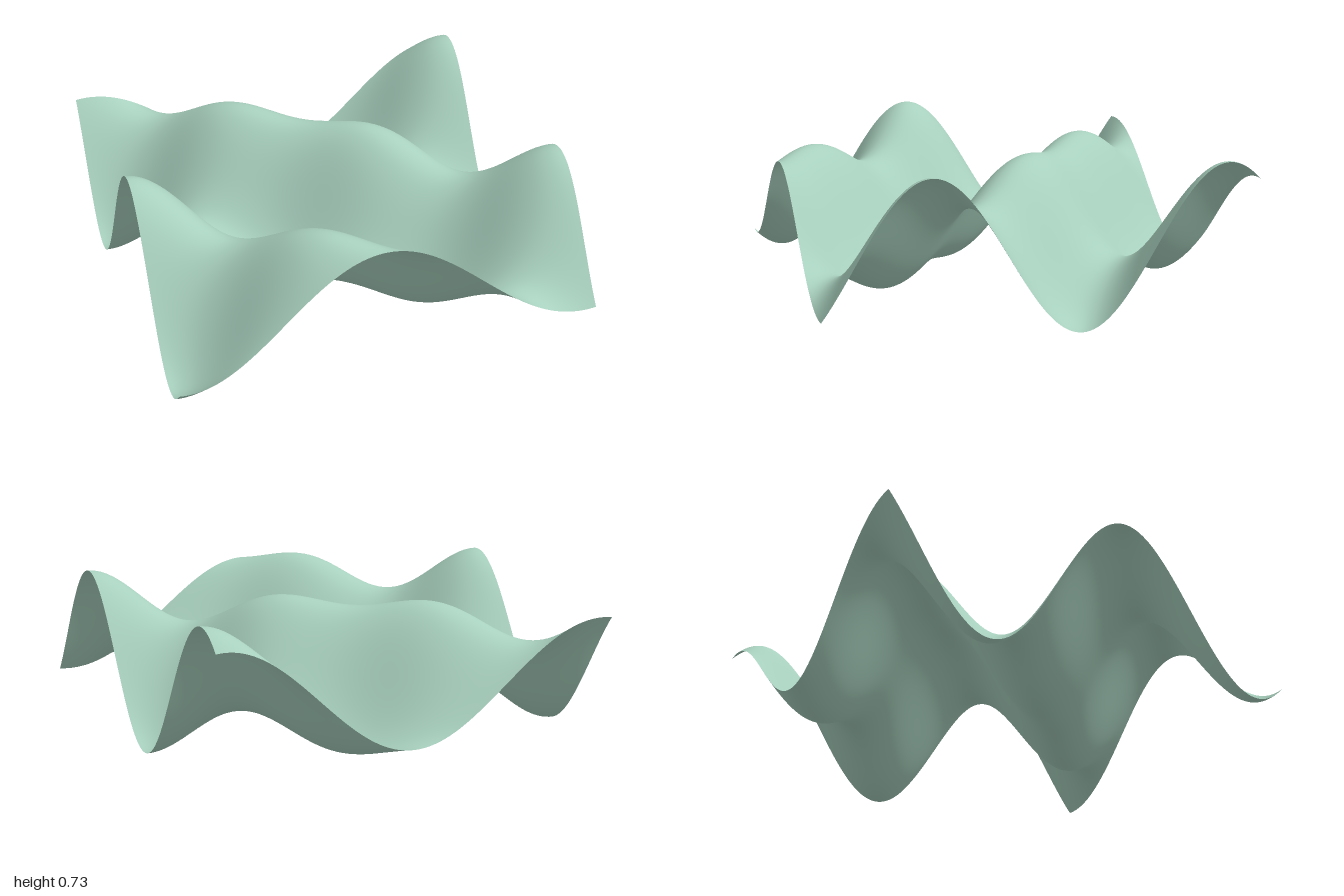
import * as THREE from 'three';

const AMPLITUDE = 0.261;
const MID_HEIGHT = 0.366;
const K_LONG = 3.3;   // slower ripple along x
const K_SHORT = 4.62; // faster ripple along x and z

// Two crossed standing waves make the diagonal ridges
function height(x, z) {
  return MID_HEIGHT + AMPLITUDE * (
    Math.sin(K_SHORT * x) * Math.cos(K_SHORT * z)
    - Math.cos(K_LONG * x) * Math.sin(K_SHORT * z));
}

export function createModel() {
  const group = new THREE.Group();
  group.name = 'waveSurface';

  const paleGreen = new THREE.MeshStandardMaterial({ color: 0xa8d0be, side: THREE.DoubleSide });
  paleGreen.name = 'pale green';

  // Flat square sheet, raised by the wave rule
  const geometry = new THREE.PlaneGeometry(2, 2, 128, 128).rotateX(-Math.PI / 2);
  const pos = geometry.attributes.position;
  for (let i = 0; i < pos.count; i++) {
    pos.setY(i, height(pos.getX(i), pos.getZ(i)));
  }
  geometry.computeVertexNormals();

  const sheet = new THREE.Mesh(geometry, paleGreen);
  sheet.name = 'wavySheet';
  group.add(sheet);
  return group;
}
